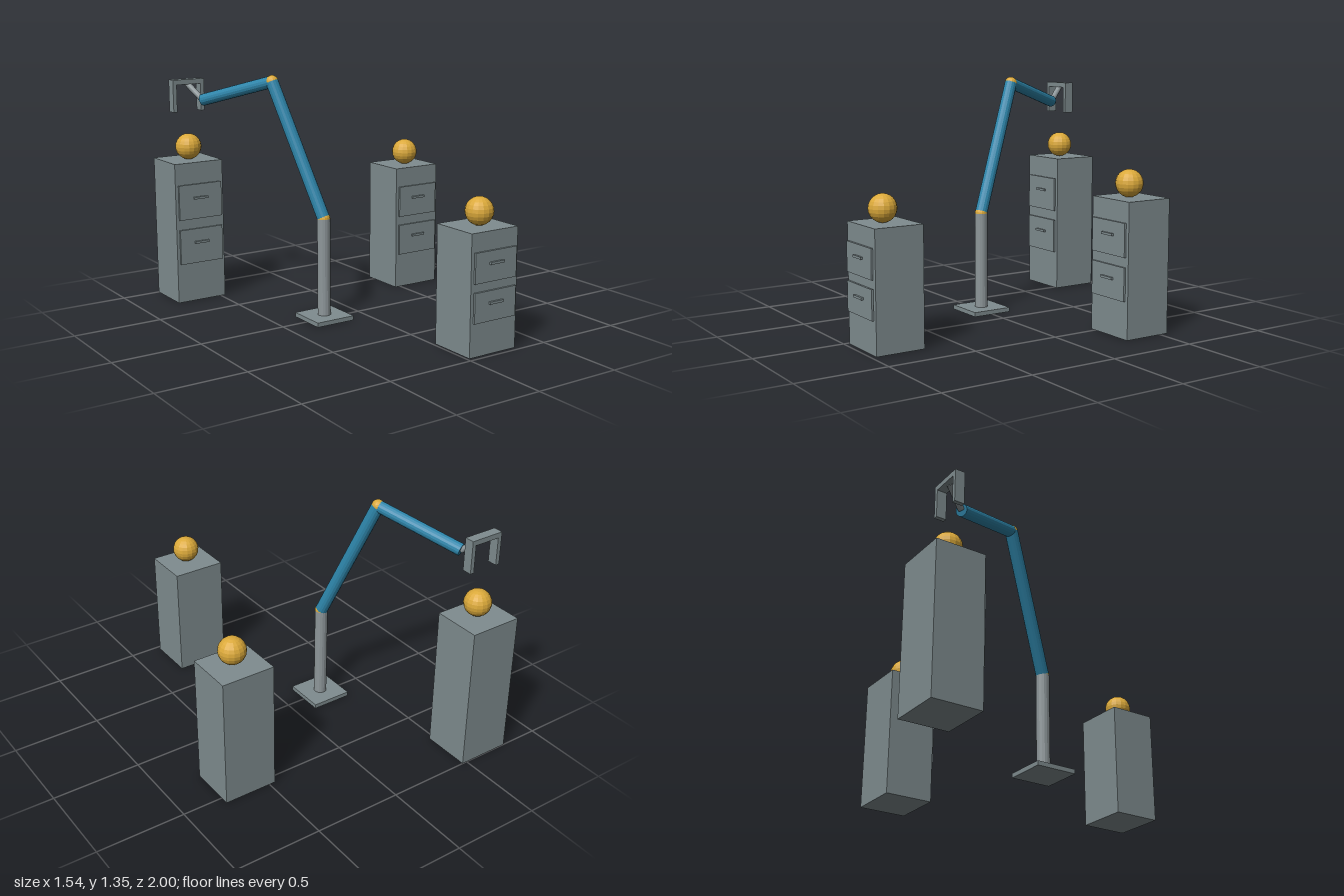
import * as THREE from 'three';

const mat = (name, color) => {
  const m = new THREE.MeshStandardMaterial({ color, flatShading: true });
  m.name = name;
  return m;
};

export function createModel() {
  const grey = mat('slateGrey', 0x7f8c8f);
  const steel = mat('steelGrey', 0x8e979a);
  const blue = mat('armBlue', 0x2e86ab);
  const gold = mat('gold', 0xdba93a);

  const model = new THREE.Group();
  model.name = 'robotArmWithCabinets';

  const add = (parent, name, geometry, material, x, y, z) => {
    const mesh = new THREE.Mesh(geometry, material);
    mesh.name = name;
    mesh.position.set(x, y, z);
    parent.add(mesh);
    return mesh;
  };
  const box = (parent, name, material, w, h, d, x, y, z) =>
    add(parent, name, new THREE.BoxGeometry(w, h, d), material, x, y, z);
  const ball = (parent, name, r, x, y, z) =>
    add(parent, name, new THREE.SphereGeometry(r, 16, 12), gold, x, y, z);

  // Cylinder running from one point to another
  const rod = (parent, name, material, r, a, b) => {
    const dir = b.clone().sub(a);
    const mid = a.clone().add(b).multiplyScalar(0.5);
    const mesh = add(parent, name, new THREE.CylinderGeometry(r, r, dir.length(), 16), material, mid.x, mid.y, mid.z);
    mesh.quaternion.setFromUnitVectors(new THREE.Vector3(0, 1, 0), dir.normalize());
  };

  // Cabinets: centre x, centre z, height
  const W = 0.304, D = 0.277;
  for (const [x, z, h] of [[-0.623, -0.861, 0.824], [0.167, 0.834, 0.65], [0.618, -0.41, 0.737]]) {
    const cabinet = new THREE.Group();
    cabinet.name = 'cabinet';
    cabinet.position.set(x, 0, z);
    box(cabinet, 'cabinetBody', grey, W, h, D, 0, h / 2, 0);
    // Two drawer fronts, standing just clear of the body, with bar handles
    for (const k of [0.404, 0.724]) {
      box(cabinet, 'drawerFront', grey, 0.271, h * 0.248, 0.011, 0, h * k, D / 2 + 0.009);
      box(cabinet, 'drawerHandle', grey, 0.089, 0.013, 0.012, 0, h * k + h * 0.026, D / 2 + 0.0205);
    }
    // Ball resting on top, slightly forward of centre
    ball(cabinet, 'ball', 0.0758, 0, h + 0.0755, 0.013);
    model.add(cabinet);
  }

  // Robot arm
  const arm = new THREE.Group();
  arm.name = 'robotArm';
  model.add(arm);
  const foot = new THREE.Vector3(-0.23, 0.025, 0);
  const shoulder = new THREE.Vector3(-0.23, 0.575, 0);
  const elbow = new THREE.Vector3(-0.37, 1.312, -0.301);
  const wrist = new THREE.Vector3(-0.573, 1.179, -0.745);
  const hand = new THREE.Vector3(-0.622, 1.269, -0.845);

  box(arm, 'basePlate', grey, 0.236, 0.025, 0.236, -0.23, 0.0125, 0);
  rod(arm, 'column', steel, 0.037, foot, shoulder);
  ball(arm, 'shoulderJoint', 0.037, ...shoulder.toArray());
  rod(arm, 'upperArm', blue, 0.036, shoulder, elbow);
  ball(arm, 'elbowJoint', 0.036, ...elbow.toArray());
  rod(arm, 'forearm', blue, 0.034, elbow, wrist);
  rod(arm, 'wristLink', steel, 0.017, wrist, hand);

  // Gripper: cross bar with two fingers
  const gripper = new THREE.Group();
  gripper.name = 'gripper';
  gripper.position.set(-0.624, 0, -0.847);
  box(gripper, 'gripperBar', grey, 0.198, 0.029, 0.056, 0, 1.28, 0);
  for (const s of [-1, 1]) box(gripper, 'gripperFinger', grey, 0.023, 0.158, 0.056, s * 0.0875, 1.187, 0);
  arm.add(gripper);

  return model;
}
